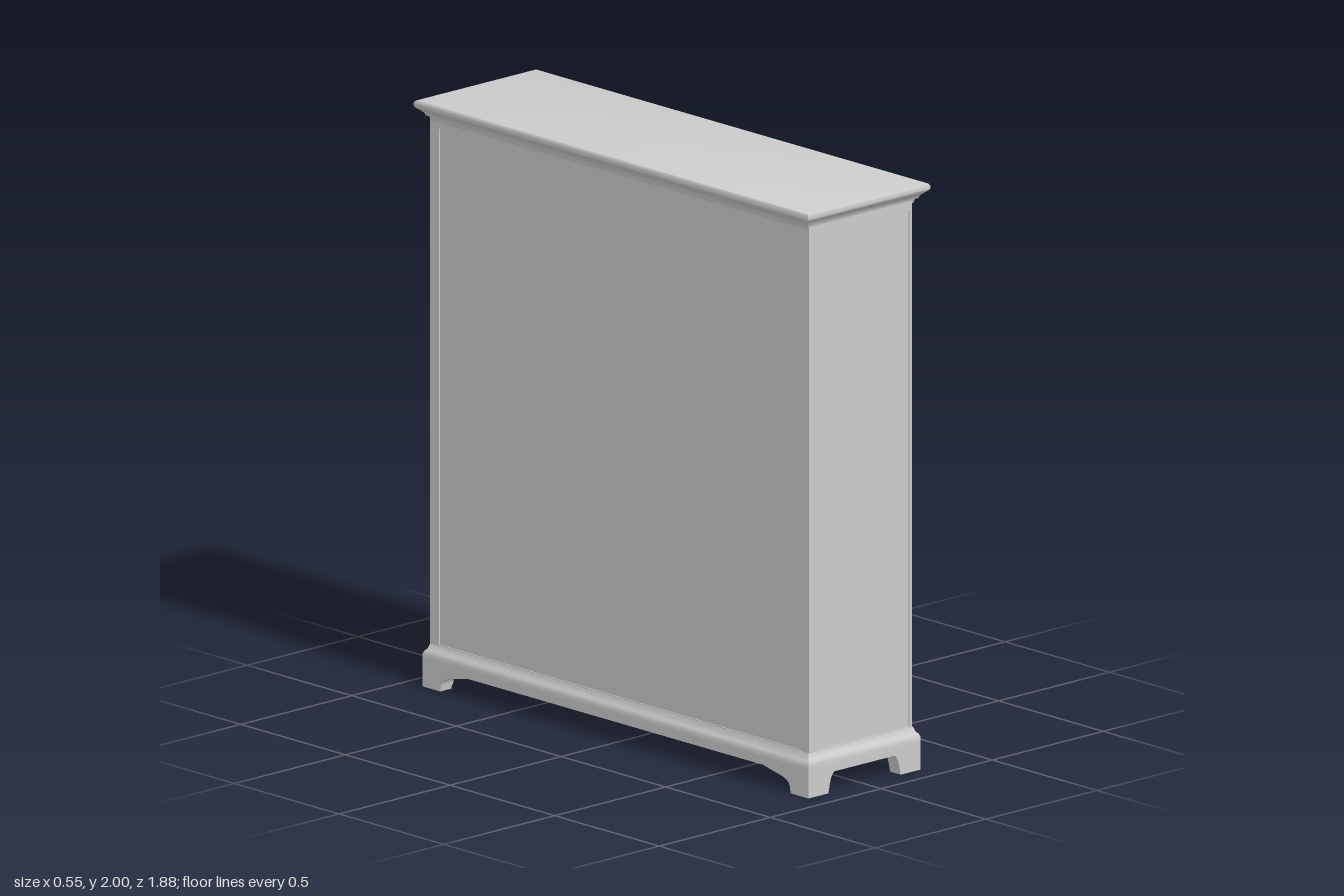
import * as THREE from 'three';
import { toCreasedNormals } from 'three/addons/utils/BufferGeometryUtils.js';

const material = new THREE.MeshStandardMaterial({ color: 0xcccccc });

// Carcass extents: the open side faces +x
const BACK = -0.236, FRONT = 0.228, HALF = 0.905, INNER = 0.862;
const FLOOR = 0.15, CEILING = 1.91, BACK_INNER = -0.212;
const SHELF_FRONT = 0.208, BASE_CENTRE = -0.002;

export function createModel() {
  const model = new THREE.Group();
  model.name = 'bookcase';

  const add = (name, geometry) => {
    const mesh = new THREE.Mesh(geometry, material);
    mesh.name = name;
    model.add(mesh);
    return mesh;
  };

  // Box given by its limits on each axis
  const box = (name, x0, x1, y0, y1, z0, z1) => {
    const mesh = add(name, new THREE.BoxGeometry(x1 - x0, y1 - y0, z1 - z0));
    mesh.position.set((x0 + x1) / 2, (y0 + y1) / 2, (z0 + z1) / 2);
  };

  // Closed rectangular moulding: profile of [offset, y] swept round a rectangle
  const moulding = (name, halfX, halfZ, centreX, profile) => {
    const points = [[-2, profile[0][1]], ...profile, [-2, profile.at(-1)[1]]]
      .map(([offset, y]) => new THREE.Vector2(4 + offset, y));
    const geometry = new THREE.LatheGeometry(points, 4, Math.PI / 4);
    const p = geometry.attributes.position;
    for (let i = 0; i < p.count; i++) {
      const offset = Math.hypot(p.getX(i), p.getZ(i)) - 4;
      p.setX(i, Math.sign(p.getX(i)) * Math.max(0, halfX + offset));
      p.setZ(i, Math.sign(p.getZ(i)) * Math.max(0, halfZ + offset));
    }
    add(name, toCreasedNormals(geometry, 0.6)).position.x = centreX;
  };

  // Cornice
  moulding('cornice', 0.276, 0.942, 0, [
    [-0.04, 1.93], [-0.036, 1.944], [-0.028, 1.947], [-0.024, 1.957], [-0.012, 1.967],
    [-0.003, 1.974], [0, 1.981], [0, 1.989], [-0.005, 1.997], [-0.013, 2],
  ]);

  // Plinth moulding
  moulding('plinth', 0.2525, 0.922, BASE_CENTRE, [
    [0, 0.095], [0, 0.112], [-0.004, 0.122], [-0.012, 0.13], [-0.017, 0.146],
  ]);

  // Bracket feet joined by an apron, cut as one board per side
  const apron = (name, half, footWidth, reach) => {
    const s = new THREE.Shape();
    const inner = half - footWidth;
    s.moveTo(-half, 0);
    s.lineTo(-inner, 0);
    s.lineTo(-inner + 0.005, 0.025);
    s.bezierCurveTo(-inner + 0.012, 0.055, -inner + reach * 0.5, 0.052, -inner + reach, 0.07);
    s.lineTo(inner - reach, 0.07);
    s.bezierCurveTo(inner - reach * 0.5, 0.052, inner - 0.012, 0.055, inner - 0.005, 0.025);
    s.lineTo(inner, 0);
    s.lineTo(half, 0);
    s.lineTo(half, 0.1);
    s.lineTo(-half, 0.1);
    s.closePath();
    const geometry = new THREE.ExtrudeGeometry(s, { depth: 0.05, bevelEnabled: false, curveSegments: 8 });
    geometry.translate(0, 0, -0.05);
    return add(name, geometry);
  };
  for (const side of [1, -1]) {
    const end = apron('endApron', 0.2525, 0.09, 0.025);
    end.position.set(BASE_CENTRE, 0, side * 0.922);
    end.rotation.y = side > 0 ? 0 : Math.PI;
    const long = apron('longApron', 0.922, 0.085, 0.13);
    long.position.x = BASE_CENTRE + side * 0.2525;
    long.rotation.y = side * Math.PI / 2;
  }

  // Floor, ceiling and back of the carcass
  box('floor', BACK, FRONT, 0.13, FLOOR, -HALF, HALF);
  box('ceiling', BACK, FRONT, CEILING, 1.94, -HALF, HALF);
  box('backPanel', BACK + 0.004, BACK_INNER, FLOOR, CEILING, -INNER, INNER);

  // Sides: a slightly sunk panel between stiles
  for (const side of [1, -1]) {
    const span = (a, b) => side > 0 ? [a, b] : [-b, -a];
    box('sidePanel', -0.195, 0.217, FLOOR, CEILING, ...span(INNER, HALF - 0.004));
    box('backStile', BACK, -0.195, FLOOR, CEILING, ...span(INNER, HALF));
    box('frontStile', 0.217, FRONT, FLOOR, CEILING, ...span(INNER - 0.002, HALF));
  }

  // Divider, top shelf and the set-back shelves on both sides
  box('divider', BACK_INNER, FRONT - 0.004, FLOOR, 1.61, -0.017, 0.02);
  box('topShelf', BACK_INNER, FRONT - 0.008, 1.61, 1.638, -INNER, INNER);
  for (const top of [0.497, 0.803, 1.103, 1.383]) {
    box('leftShelf', BACK_INNER, SHELF_FRONT, top - 0.027, top, 0.02, INNER);
    box('rightShelf', BACK_INNER, SHELF_FRONT, top - 0.027, top, -INNER, -0.017);
  }

  // Shelf pegs on the inner walls, and buttons on the back panel
  const pegGeometry = new THREE.SphereGeometry(0.014, 12, 8);
  const peg = (name, x, y, z, axis) => {
    const mesh = add(name, pegGeometry);
    mesh.position.set(x, y, z);
    mesh.scale[axis] = 0.5;
  };
  for (const y of [0.33, 0.63, 0.86, 0.93, 1.22, 1.49]) {
    for (const z of [-INNER, -0.017, 0.02, INNER]) peg('shelfPeg', 0.165, y, z, 'z');
  }
  for (const y of [1.7, 1.78]) {
    for (const z of [-INNER, INNER]) peg('shelfPeg', 0.165, y, z, 'z');
  }
  for (const z of [0.335, -0.325, -0.725]) peg('backButton', BACK_INNER, 1.862, z, 'x');

  return model;
}
